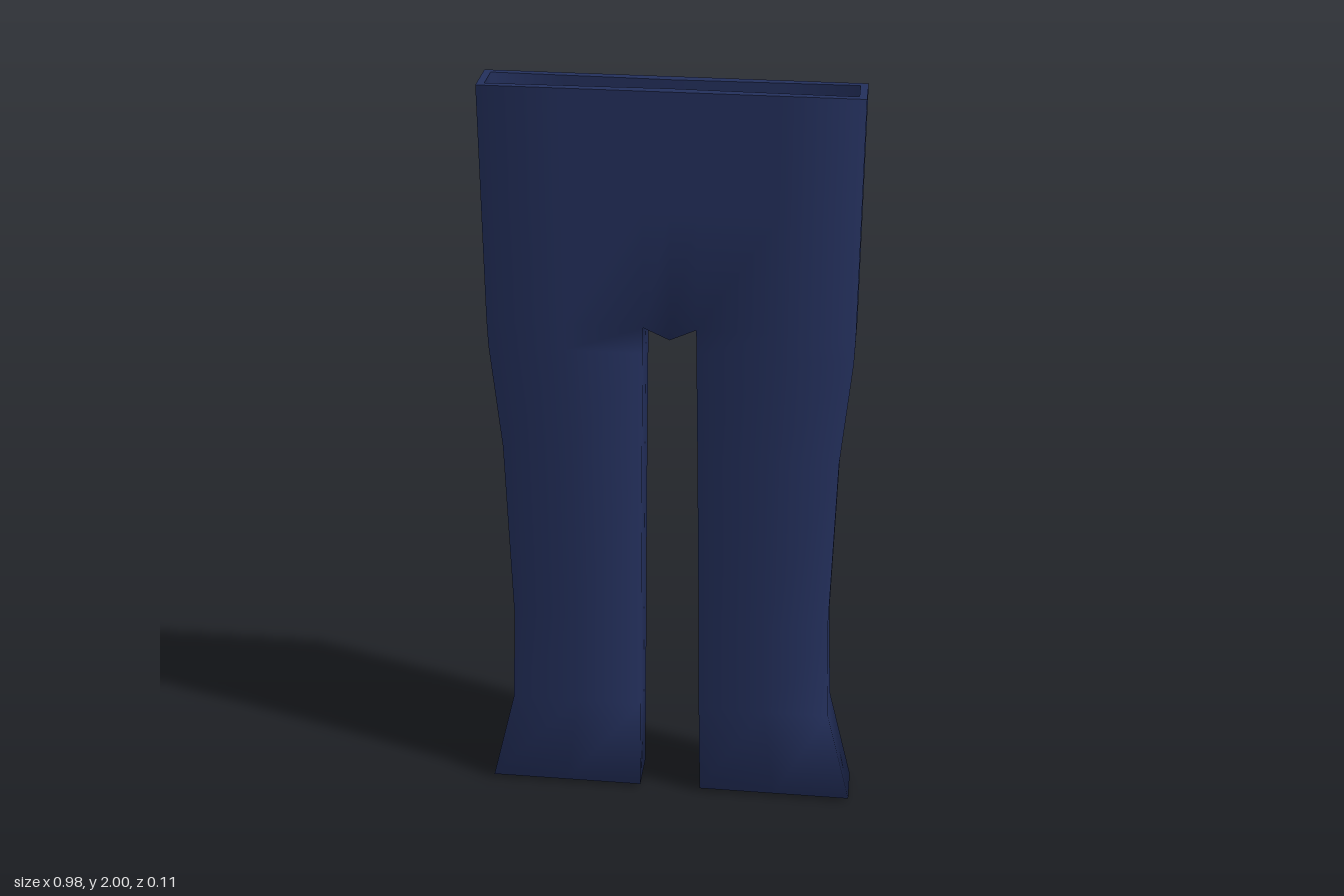
import * as THREE from 'three';

// Rows from waist to hem: [y, inner seam x, outer seam x]
const ROWS = [
  [2, 0.065, 0.452], [1.7, 0.065, 0.452], [1.4, 0.065, 0.452], [1.33, 0.066, 0.45],
  [1.05, 0.07, 0.425], [0.55, 0.076, 0.414], [0.28, 0.078, 0.425], [0.01, 0.082, 0.49],
];
const CROTCH = 2, HEM = ROWS.length - 1;

// A point of the cloth: column 0 centre, 1 inner seam, 2 mid leg, 3 outer seam
function clothPoint(inside, r, c, zSide, s) {
  let [y, xi, xo] = ROWS[r];
  if (inside) { xi += 0.018; xo -= 0.018; }
  let x = [0, xi, (xi + xo) / 2, xo][c];
  if (r === CROTCH && c === 0) y = 1.37;
  if (inside && r === CROTCH && c < 2) y += 0.02;
  if (inside && r === HEM) y = 0;
  const z = inside ? [0.031, 0.033, 0.036, 0.039][c] : 0.056;
  return [s * x, y, zSide * z];
}

// Collects quads and averages their unit normals at shared corners
function quadBuilder() {
  const ids = new Map(), pos = [], index = [], normals = [];
  const add = (pts, flip) => {
    const p = flip ? [...pts].reverse() : pts;
    const v = p.map(q => new THREE.Vector3(...q));
    const n = v[2].clone().sub(v[0]).cross(v[3].clone().sub(v[1])).normalize();
    const k = p.map(q => {
      const key = q.map(a => a.toFixed(4).replace('-0.0000', '0.0000')).join();
      if (!ids.has(key)) {
        ids.set(key, normals.length);
        pos.push(...q);
        normals.push(new THREE.Vector3());
      }
      return ids.get(key);
    });
    k.forEach(i => normals[i].add(n));
    index.push(k[0], k[1], k[2], k[0], k[2], k[3]);
  };
  const build = () => {
    const g = new THREE.BufferGeometry();
    g.setAttribute('position', new THREE.Float32BufferAttribute(pos, 3));
    g.setAttribute('normal', new THREE.Float32BufferAttribute(
      normals.flatMap(n => n.normalize().toArray()), 3));
    g.setIndex(index);
    return g;
  };
  return { add, build };
}

// Ring of cloth thickness closing the outside to the lining at one row
function addEdge(b, r, s, firstCol, up) {
  const O = (c, z) => clothPoint(false, r, c, z, s);
  const I = (c, z) => clothPoint(true, r, c, z, s);
  const flip = (s < 0) !== up;
  for (const z of [1, -1])
    for (let c = firstCol; c < 3; c++)
      b.add([I(c, z), I(c + 1, z), O(c + 1, z), O(c, z)], flip !== (z < 0));
  b.add([I(3, -1), O(3, -1), O(3, 1), I(3, 1)], flip);
  if (firstCol === 1) b.add([O(1, -1), I(1, -1), I(1, 1), O(1, 1)], flip);
}

export function createModel() {
  const group = new THREE.Group();
  group.name = 'trousers';
  const navy = new THREE.MeshStandardMaterial({ color: 0x232f5b });
  navy.name = 'navy cloth';

  const cloth = quadBuilder(), rim = quadBuilder();
  for (const s of [1, -1]) {
    for (const inside of [false, true]) {
      const P = (r, c, z) => clothPoint(inside, r, c, z, s);
      const flip = (s < 0) !== inside;
      for (let r = 0; r < HEM; r++) {
        // front and back panels
        for (const z of [1, -1])
          for (let c = r < CROTCH ? 0 : 1; c < 3; c++)
            cloth.add([P(r + 1, c, z), P(r + 1, c + 1, z), P(r, c + 1, z), P(r, c, z)], flip !== (z < 0));
        // outer side and inner leg walls
        cloth.add([P(r + 1, 3, 1), P(r + 1, 3, -1), P(r, 3, -1), P(r, 3, 1)], flip);
        if (r >= CROTCH)
          cloth.add([P(r + 1, 1, -1), P(r + 1, 1, 1), P(r, 1, 1), P(r, 1, -1)], flip);
      }
      // crotch gusset
      cloth.add([P(CROTCH, 0, -1), P(CROTCH, 1, -1), P(CROTCH, 1, 1), P(CROTCH, 0, 1)], flip);
    }
    addEdge(cloth, HEM, s, 1, false);
    addEdge(rim, 0, s, 0, true);
  }

  const body = new THREE.Mesh(cloth.build(), navy);
  body.name = 'trouserCloth';
  const waist = new THREE.Mesh(rim.build(), navy);
  waist.name = 'waistRim';
  group.add(body, waist);
  return group;
}
